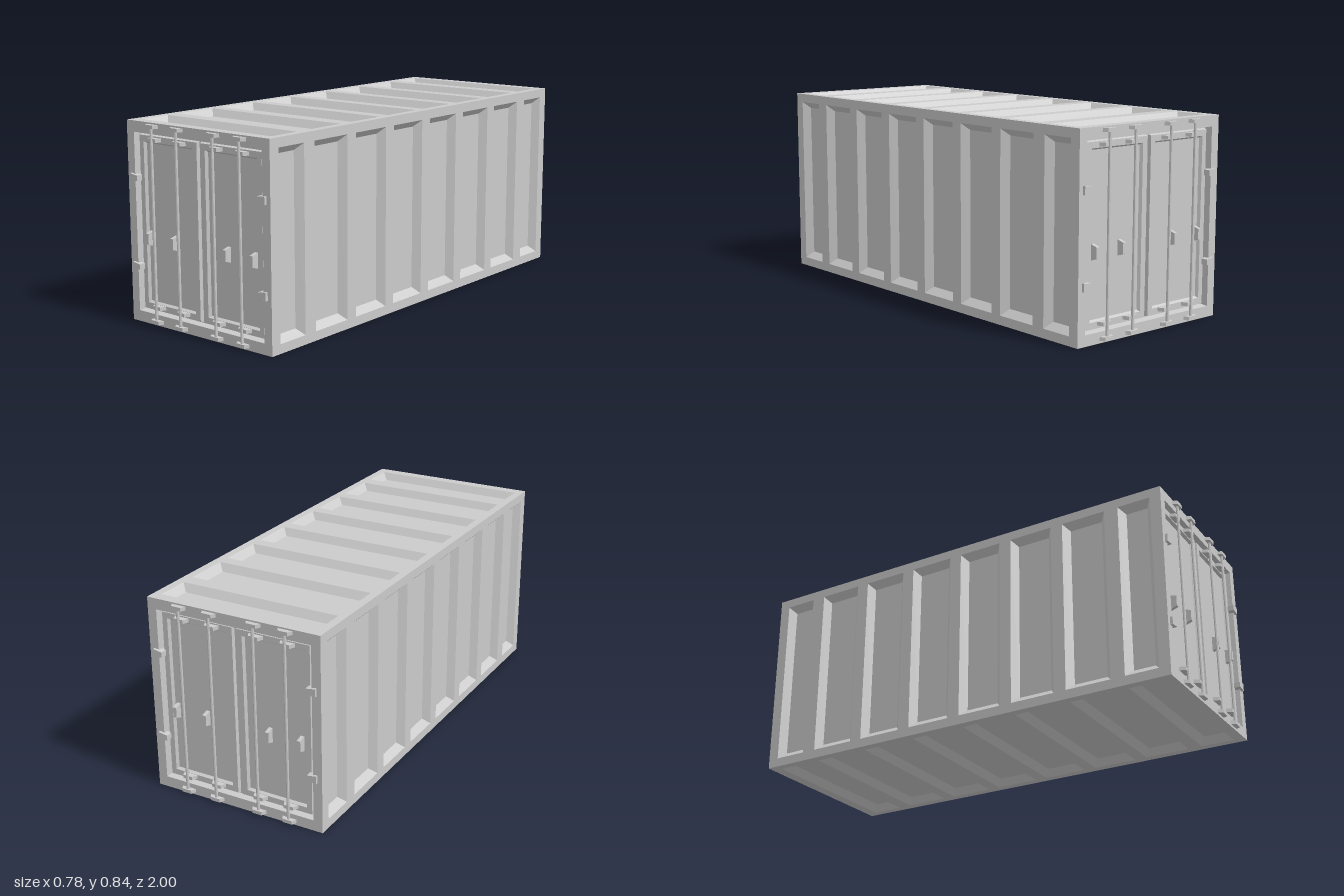
import * as THREE from 'three';
import { mergeGeometries } from 'three/addons/utils/BufferGeometryUtils.js';

const W = 0.78, H = 0.838, L = 1.96; // body width, height, length
const mat = new THREE.MeshStandardMaterial({ color: 0xcccccc, flatShading: true });

const rect = (cx, cy, w, h) => [
  [cx - w / 2, cy - h / 2], [cx + w / 2, cy - h / 2],
  [cx + w / 2, cy + h / 2], [cx - w / 2, cy + h / 2],
];

// Sloped walls from one four-sided outline to another, closed by a cap at z1.
// Sinks a tray when z1 < z0, raises a block when z1 > z0.
function loft(base, cap, z0, z1) {
  const pos = [];
  const quad = (a, b, c, d) => pos.push(...a, ...b, ...c, ...a, ...c, ...d);
  const b = base.map((p) => [...p, z0]);
  const c = cap.map((p) => [...p, z1]);
  for (let i = 0; i < 4; i++) {
    const j = (i + 1) % 4;
    quad(b[i], b[j], c[j], c[i]);
  }
  quad(...c);
  const g = new THREE.BufferGeometry();
  g.setAttribute('position', new THREE.Float32BufferAttribute(pos, 3));
  g.computeVertexNormals();
  return g;
}

// Flat rectangle with rectangular openings cut into it.
function pierced(outline, holes, z = 0) {
  const path = (pts) => pts.map(([x, y]) => new THREE.Vector2(x, y));
  const shape = new THREE.Shape(path(outline));
  holes.forEach((h) => shape.holes.push(new THREE.Path(path(h))));
  const g = new THREE.ShapeGeometry(shape).toNonIndexed();
  g.deleteAttribute('uv');
  return g.translate(0, 0, z);
}

function add(parent, name, geometry, x = 0, y = 0, z = 0) {
  const mesh = new THREE.Mesh(geometry, mat);
  mesh.name = name;
  mesh.position.set(x, y, z);
  parent.add(mesh);
  return mesh;
}

// Long wall, roof or floor with eight sunken bays; length runs along local x.
function bayPanel(height, bayHeight) {
  const bays = [];
  for (let i = 0; i < 8; i++) {
    const end = i === 0 || i === 7;
    const cx = end ? Math.sign(i - 3.5) * 0.86 : (i - 3.5) * 0.251;
    bays.push([cx, 0, end ? 0.145 : 0.197, bayHeight]);
  }
  const trays = bays.map(([x, y, w, h]) =>
    loft(rect(x, y, w, h), rect(x, y, w - 0.052, h - 0.056), 0, -0.03));
  return mergeGeometries([pierced(rect(0, 0, L, height), bays.map((b) => rect(...b))), ...trays]);
}

// One end wall with its double doors and fittings, facing local +z.
function buildEnd(name) {
  const end = new THREE.Group();
  end.name = name;

  // Frame with a sunken doorway
  const opening = [0, 0.419, 0.7, 0.746];
  add(end, 'doorFrame', mergeGeometries([
    pierced(rect(0, H / 2, W, H), [rect(...opening)]),
    loft(rect(...opening), rect(0, 0.419, 0.69, 0.736), 0, -0.03),
  ]));

  for (const s of [-1, 1]) {
    // Door leaf: raised rim around a sunken panel
    const leaf = rect(s * 0.172, 0.4195, 0.325, 0.722);
    const hole = rect(s * 0.1735, 0.4195, 0.277, 0.672);
    const rim = loft(rect(s * 0.172, 0.4195, 0.333, 0.73), leaf, -0.03, -0.016);
    rim.setDrawRange(0, 24);
    const walls = rim.clone();
    walls.setAttribute('position',
      new THREE.Float32BufferAttribute(rim.attributes.position.array.slice(0, 72), 3));
    walls.computeVertexNormals();
    add(end, 'door', mergeGeometries([
      walls,
      pierced(leaf, [hole], -0.016),
      loft(hole, rect(s * 0.1735, 0.4195, 0.263, 0.658), -0.016, -0.028),
    ]));

    // Tapered hinges
    for (const y of [0.235, 0.605]) {
      const pts = (g) => [
        [s * (0.328 + g), y - 0.012 + g], [s * (0.371 - g), y - 0.018 + g],
        [s * (0.371 - g), y + 0.018 - g], [s * (0.328 + g), y + 0.012 - g],
      ];
      const order = (p) => (s > 0 ? p : p.reverse());
      add(end, 'hinge', loft(order(pts(0)), order(pts(0.001)), -0.018, 0.011));
    }

    // Handles with sloped ends
    for (const x of [0.146, 0.289]) {
      add(end, 'handle', loft(rect(0, -0.001, 0.016, 0.064), rect(0, 0, 0.016, 0.044), -0.029, 0.002),
        s * x, 0.357);
    }

    // Locking bars and their clamps
    for (const x of [0.1, 0.24]) {
      add(end, 'lockingBar', new THREE.CylinderGeometry(0.0065, 0.0065, 0.806, 8), s * x, 0.4205, 0.008);
      for (const [y, z0, z1] of [[0.018, 0, 0.02], [0.075, -0.017, 0.008],
        [0.768, -0.017, 0.008], [0.824, 0, 0.02]]) {
        add(end, 'barClamp', loft(rect(0, 0, 0.064, 0.015), rect(0, 0, 0.042, 0.015), z0, z1), s * x, y);
      }
    }
  }
  return end;
}

export function createModel() {
  const model = new THREE.Group();
  model.name = 'shippingContainer';

  // Side walls
  const wall = bayPanel(H, 0.76);
  for (const s of [-1, 1]) {
    add(model, s > 0 ? 'leftWall' : 'rightWall', wall, s * W / 2, H / 2, 0).rotation.y = s * Math.PI / 2;
  }

  // Roof and floor, turned so their length follows z
  const deck = bayPanel(W, 0.71).rotateZ(Math.PI / 2);
  add(model, 'roof', deck, 0, H, 0).rotation.x = -Math.PI / 2;
  add(model, 'floor', deck, 0, 0, 0).rotation.x = Math.PI / 2;

  // Matching door ends
  const front = buildEnd('frontEnd');
  front.position.z = L / 2;
  const back = buildEnd('backEnd');
  back.position.z = -L / 2;
  back.rotation.y = Math.PI;
  model.add(front, back);
  return model;
}
